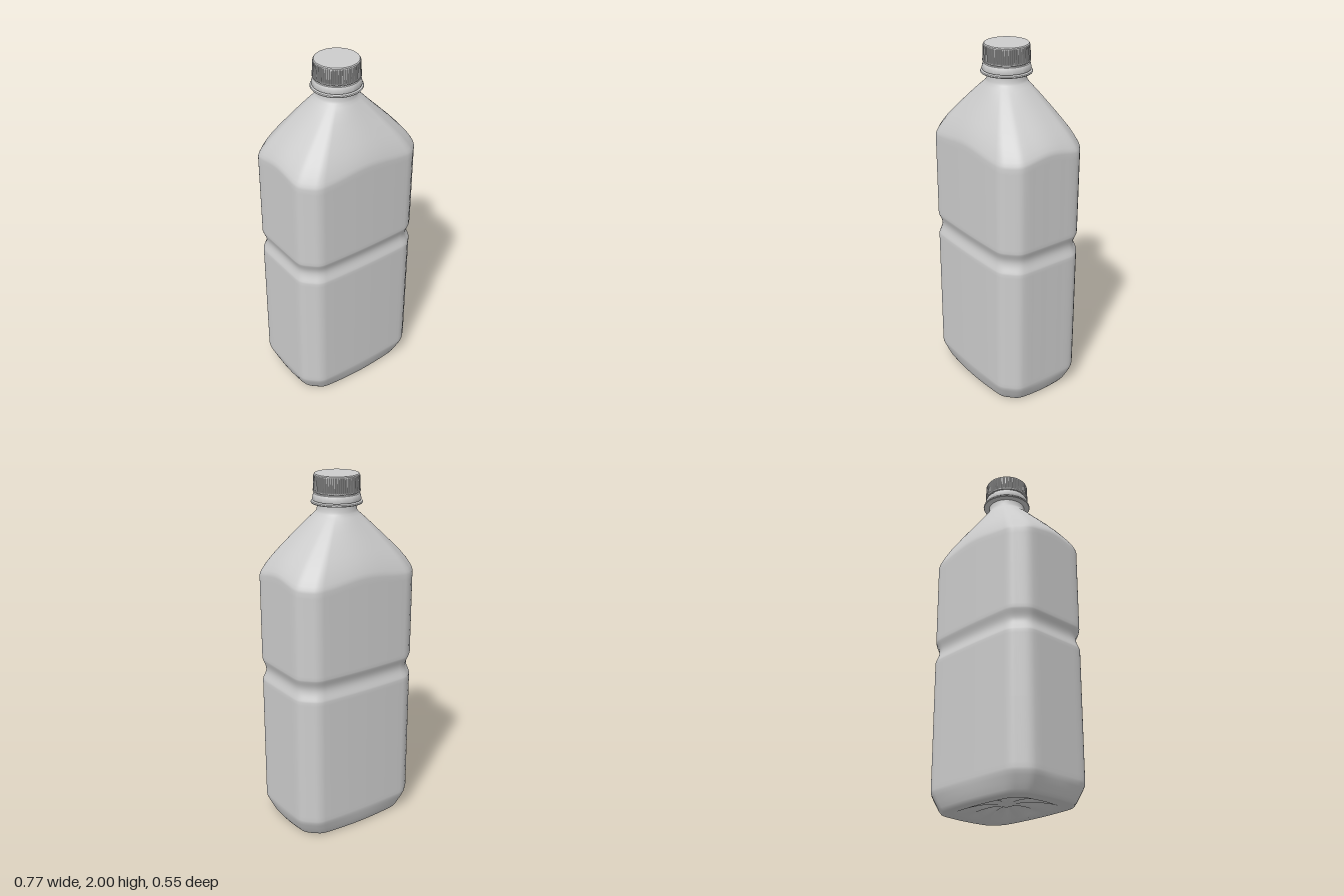
import * as THREE from 'three';
import { toCreasedNormals } from 'three/addons/utils/BufferGeometryUtils.js';

const HX = 0.385, HZ = 0.277, N = 192;

// Unit outline: slightly bowed rectangle with softened chamfered corners
function outline() {
  const q = [[0.385, 0], [0.385, 0.09], [0.384, 0.155], [0.379, 0.182], [0.366, 0.204], [0.332, 0.238],
    [0.308, 0.258], [0.282, 0.268], [0.25, 0.271], [0.12, 0.2755], [0, 0.277]];
  const pts = [];
  for (let k = 0; k < 4; k++) {
    const quarter = k % 2 ? [...q].reverse() : q;
    const sx = k === 0 || k === 3 ? 1 : -1, sz = k < 2 ? 1 : -1;
    quarter.slice(0, -1).forEach(([x, z]) => pts.push(new THREE.Vector3(sx * x / HX, 0, sz * z / HZ)));
  }
  return new THREE.CatmullRomCurve3(pts, true).getPoints(N).slice(0, N);
}

// Lofts rows of [y, half width, half depth, roundness, corner drop, petal height]
function loft(rows) {
  const ring = outline(), pos = [], idx = [];
  for (const [y, hx, hz, round = 0, drop = 0, petal = 0] of rows) {
    for (const p of ring) {
      const a = Math.atan2(p.z, p.x);
      const x = THREE.MathUtils.lerp(p.x, Math.cos(a), round) * hx;
      const z = THREE.MathUtils.lerp(p.z, Math.sin(a), round) * hz;
      const corner = Math.sin(2 * a) ** 2;
      pos.push(x, y - drop * corner + petal * (0.5 + 0.5 * Math.cos(8 * a)), z);
    }
  }
  for (let j = 0; j < rows.length - 1; j++) {
    for (let i = 0; i < N; i++) {
      const a = j * N + i, b = j * N + (i + 1) % N;
      idx.push(a, a + N, b + N, a, b + N, b);
    }
  }
  const g = new THREE.BufferGeometry();
  g.setAttribute('position', new THREE.Float32BufferAttribute(pos, 3));
  g.setIndex(idx);
  g.computeVertexNormals();
  return g;
}

function lathe(points, segments = 96) {
  const g = new THREE.LatheGeometry(points.map(([r, y]) => new THREE.Vector2(r, y)), segments);
  return toCreasedNormals(g, 0.6);
}

export function createModel() {
  const model = new THREE.Group();
  model.name = 'bottle';
  const plastic = new THREE.MeshStandardMaterial({ color: 0xcccccc });
  plastic.name = 'pale grey plastic';
  const add = (name, geometry) => {
    const mesh = new THREE.Mesh(geometry, plastic);
    mesh.name = name;
    model.add(mesh);
  };

  // Base: hub, radial petals and the foot rim
  const rows = [[0.022, 0.0005, 0.0005, 1], [0.022, 0.02, 0.018, 1], [0.026, 0.035, 0.03, 1]];
  for (let k = 0; k <= 10; k++) {
    const t = k / 10, s = 0.05 + 0.215 * t;
    rows.push([0.03 * (1 - t * t), s, s * 0.7, 0.8 * (1 - t) + 0.2, 0, 0.022 * Math.sin(Math.PI * t)]);
  }
  rows.push([0, 0.28, 0.198, 0.2], [0, 0.335, 0.236, 0.2], [0.004, 0.346, 0.244, 0.2], [0.02, 0.357, 0.252, 0.18],
    [0.05, 0.37, 0.263, 0.14], [0.08, 0.38, 0.271, 0.07], [0.1, 0.384, 0.276, 0.02],
    [0.115, HX, HZ], [0.14, HX, HZ], [0.48, HX, HZ], [0.83, HX, HZ]);

  // Waist groove
  for (let k = 0; k <= 14; k++) {
    const t = k / 14, d = 0.017 * Math.sin(Math.PI * t) ** 1.3;
    rows.push([0.85 + 0.13 * t, HX - d, HZ - d]);
  }

  // Upper wall, shoulder and neck
  rows.push([1, HX, HZ], [1.25, HX, HZ], [1.46, HX, HZ, 0, 0.03], [1.49, HX, HZ, 0, 0.03],
    [1.505, 0.383, 0.275, 0.03, 0.03], [1.52, 0.376, 0.271, 0.06, 0.028], [1.545, 0.36, 0.261, 0.1, 0.024],
    [1.58, 0.331, 0.245, 0.16, 0.018], [1.62, 0.293, 0.222, 0.24, 0.012], [1.67, 0.243, 0.192, 0.36, 0.006],
    [1.72, 0.192, 0.16, 0.52], [1.76, 0.154, 0.136, 0.7], [1.785, 0.128, 0.119, 0.87],
    [1.8, 0.113, 0.11, 0.97], [1.812, 0.107, 0.107, 1], [1.83, 0.105, 0.105, 1], [1.86, 0.105, 0.105, 1]);
  add('body', loft(rows));

  // Flange under the cap
  add('neckFlange', lathe([[0.1, 1.842], [0.136, 1.846], [0.139, 1.851], [0.136, 1.856], [0.1, 1.86]]));

  // Tamper band
  add('tamperBand', lathe([[0.1, 1.862], [0.129, 1.862], [0.131, 1.868], [0.126, 1.892], [0.123, 1.898],
    [0.117, 1.901], [0.117, 1.91]]));

  // Cap with a bevelled top edge
  add('cap', lathe([[0.1, 1.906], [0.125, 1.906], [0.127, 1.909], [0.127, 1.914], [0.1225, 1.916],
    [0.1215, 1.985], [0.121, 1.995], [0.117, 2], [0, 2]]));

  // Fine vertical grip ribs around the cap
  const ribs = new THREE.CylinderGeometry(0.1235, 0.1265, 0.078, 288, 1, true);
  const p = ribs.attributes.position;
  for (let i = 0; i < p.count; i++) {
    const k = (i % 289) % 4 < 2 ? 1 : 0.972;
    p.setX(i, p.getX(i) * k);
    p.setZ(i, p.getZ(i) * k);
  }
  ribs.translate(0, 1.951, 0);
  add('capRibs', toCreasedNormals(ribs, 0.3));

  return model;
}
